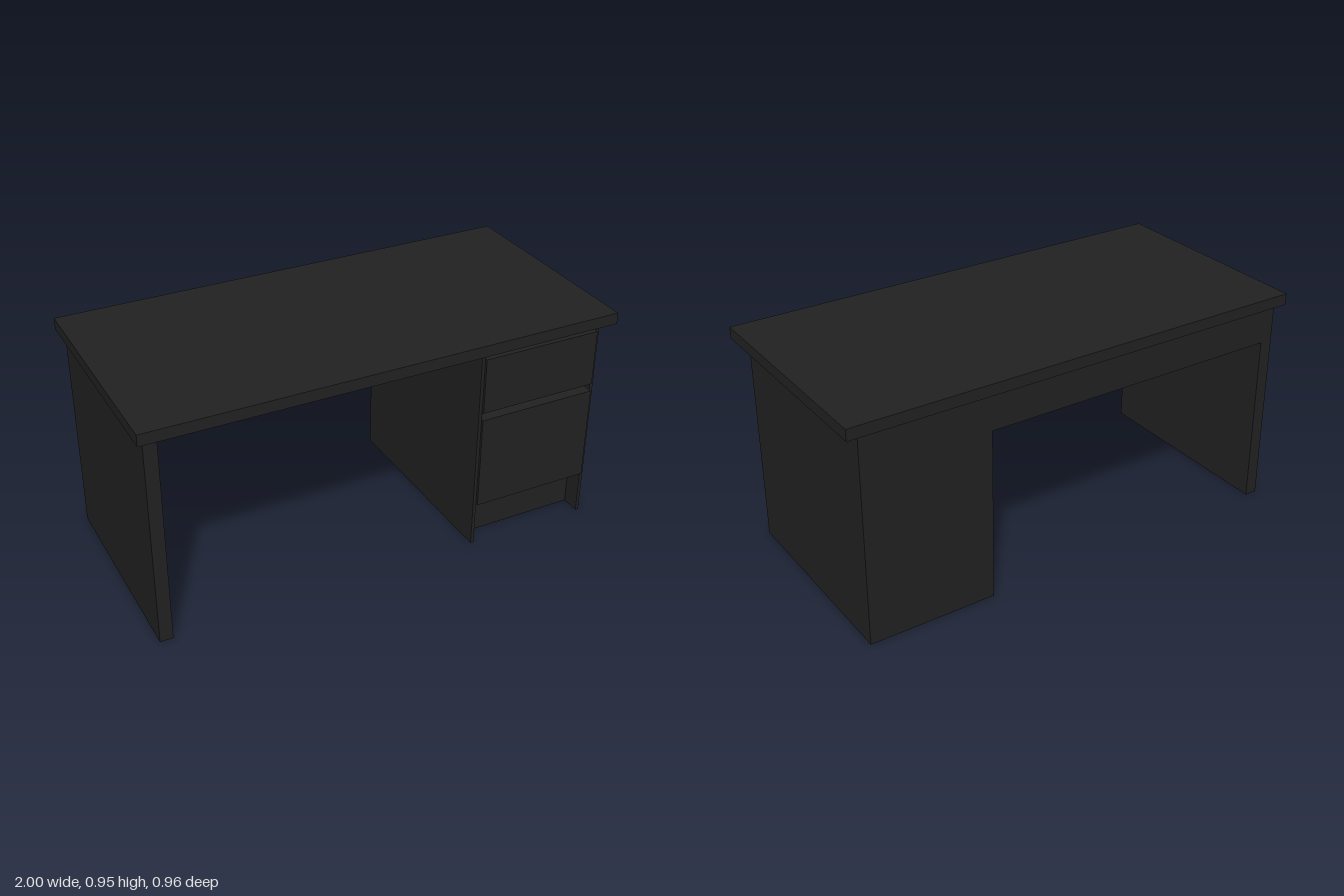
import * as THREE from 'three';

export function createModel() {
  const desk = new THREE.Group();
  desk.name = 'desk';
  const material = new THREE.MeshStandardMaterial({ color: 0x222222 });

  // Box given by its limits on each axis
  function panel(name, [x0, x1], [y0, y1], [z0, z1], parent = desk) {
    const mesh = new THREE.Mesh(new THREE.BoxGeometry(x1 - x0, y1 - y0, z1 - z0), material);
    mesh.position.set((x0 + x1) / 2, (y0 + y1) / 2, (z0 + z1) / 2);
    mesh.name = name;
    parent.add(mesh);
  }

  const under = 0.902; // underside of the top
  const depth = 0.445; // half depth of the base

  panel('desktop', [-1, 1], [under, 0.95], [-0.48, 0.48]);
  panel('sideLeg', [-0.972, -0.918], [0, under], [-depth, depth]);
  panel('backApron', [-0.918, 0.398], [0.737, under], [-depth, -depth + 0.05]);

  // Hollow drawer pedestal, open underneath
  const pedestal = new THREE.Group();
  pedestal.name = 'drawerPedestal';
  desk.add(pedestal);
  const wall = 0.014, xIn = 0.398, xOut = 0.942;
  const inner = [xIn + wall, xOut - wall];
  panel('pedestalInnerSide', [xIn, inner[0]], [0, under], [-depth, depth], pedestal);
  panel('pedestalOuterSide', [inner[1], xOut], [0, under], [-depth, depth], pedestal);
  panel('pedestalBack', inner, [0, under], [-depth, -depth + wall], pedestal);
  panel('kickBoard', inner, [0, 0.197], [0.35, 0.365], pedestal);

  // Drawer fronts, standing slightly proud of the sides
  for (const [name, y] of [['lowerDrawer', [0.195, 0.6]], ['upperDrawer', [0.633, 0.873]]]) {
    panel(name, inner, y, [0.41, 0.456], pedestal);
  }

  return desk;
}
